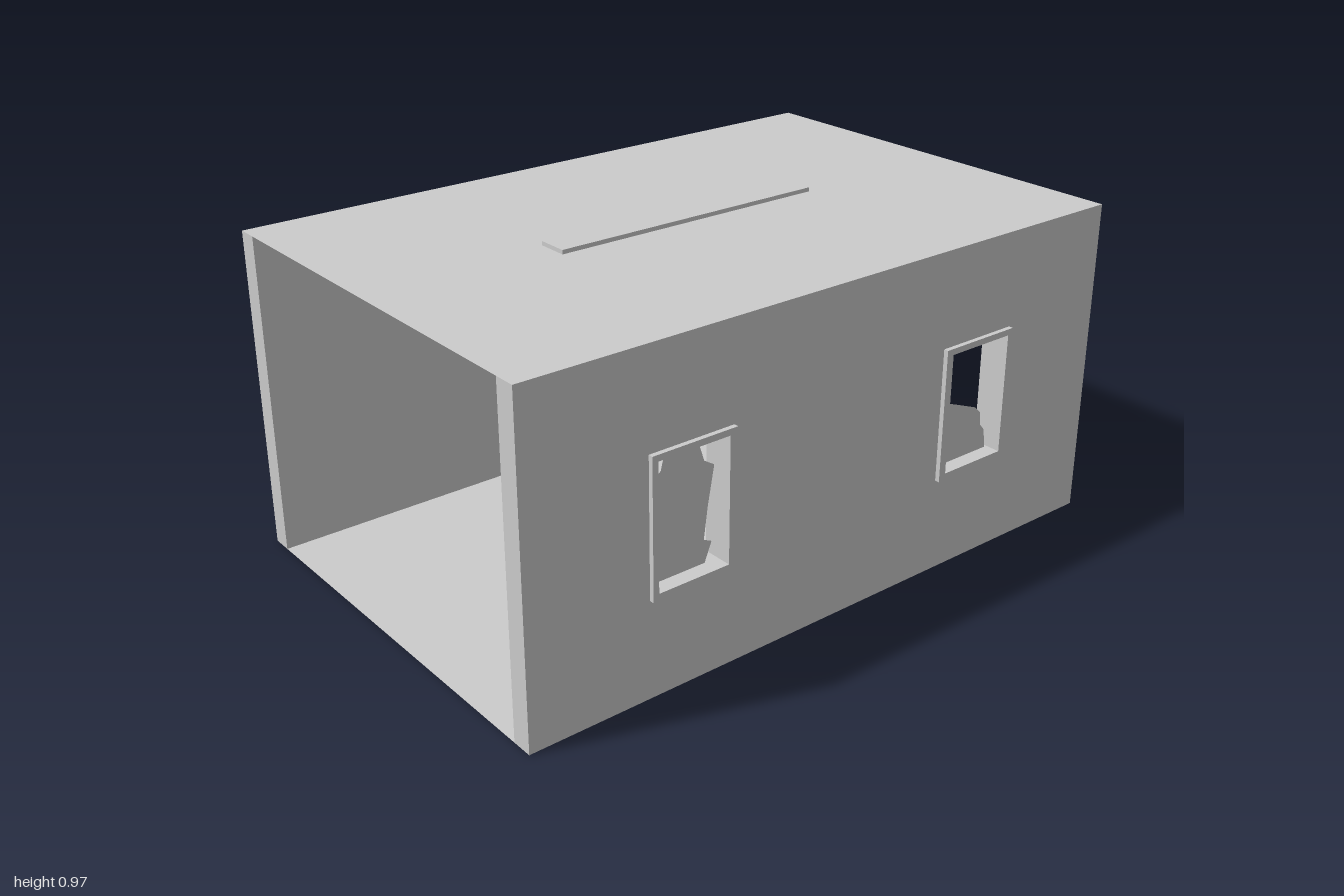
import * as THREE from 'three';

const material = new THREE.MeshStandardMaterial({ color: 0xcccccc, flatShading: true, side: THREE.DoubleSide });

const HEIGHT = 0.96;
const WINDOW = { z: 0.503, y: 0.481, w: 0.263, h: 0.396 };
const OPENING = { z: 0.506, y: 0.482, w: 0.222, h: 0.358 };

function add(group, name, geometry) {
  const mesh = new THREE.Mesh(geometry, material);
  mesh.name = name;
  group.add(mesh);
  return mesh;
}

// Outline from [z, y] pairs, laid out so a quarter turn puts it in the side wall plane
function outline(points, Type = THREE.Shape) {
  return new Type(points.map(([z, y]) => new THREE.Vector2(-z, y)));
}

function rect(z, y, w, h) {
  return [[z - w / 2, y - h / 2], [z + w / 2, y - h / 2], [z + w / 2, y + h / 2], [z - w / 2, y + h / 2]];
}

// Extrude a side outline from x0 to x1
function sidePanel(shape, x0, x1) {
  return new THREE.ExtrudeGeometry(shape, { depth: x1 - x0, bevelEnabled: false })
    .rotateY(Math.PI / 2).translate(x0, 0, 0);
}

// Extrude a front-facing profile of [x, y] pairs between two z values
function lengthwise(points, z0, z1) {
  const shape = new THREE.Shape(points.map(([x, y]) => new THREE.Vector2(x, y)));
  return new THREE.ExtrudeGeometry(shape, { depth: z1 - z0, bevelEnabled: false }).translate(0, 0, z0);
}

export function createModel() {
  const model = new THREE.Group();
  model.name = 'room';

  // Thin floor and ceiling sheets
  for (const [name, y] of [['floor', 0], ['ceiling', HEIGHT]]) {
    add(model, name, new THREE.PlaneGeometry(1.32, 2).rotateX(-Math.PI / 2).translate(-0.009, y, 0));
  }

  // Solid wall, and the opposite wall pierced by two windows
  const wallOutline = rect(0, HEIGHT / 2, 2, HEIGHT);
  add(model, 'solidWall', sidePanel(outline(wallOutline), -0.669, -0.606));
  const pierced = outline(wallOutline);
  for (const side of [1, -1]) {
    pierced.holes.push(outline(rect(side * OPENING.z, OPENING.y, OPENING.w, OPENING.h), THREE.Path));
  }
  add(model, 'windowWall', sidePanel(pierced, 0.588, 0.651));

  // Broken panes as [z, y] outlines
  const panes = {
    front: [[0.617, 0.303], [0.617, 0.57], [0.575, 0.605], [0.56, 0.661], [0.505, 0.661], [0.455, 0.635],
      [0.44, 0.59], [0.408, 0.57], [0.428, 0.46], [0.44, 0.37], [0.415, 0.358], [0.437, 0.303]],
    back: [[-0.395, 0.303], [-0.412, 0.36], [-0.4, 0.38], [-0.402, 0.42], [-0.445, 0.486], [-0.555, 0.443],
      [-0.578, 0.42], [-0.583, 0.38], [-0.6, 0.36], [-0.607, 0.303]],
  };
  for (const [end, side] of [['front', 1], ['back', -1]]) {
    const group = new THREE.Group();
    group.name = end + 'Window';
    const frame = outline(rect(side * WINDOW.z, WINDOW.y, WINDOW.w, WINDOW.h));
    frame.holes.push(outline(rect(side * OPENING.z, OPENING.y, OPENING.w, OPENING.h), THREE.Path));
    add(group, 'windowFrame', sidePanel(frame, 0.575, 0.665));
    add(group, 'brokenGlass', new THREE.ShapeGeometry(outline(panes[end]))
      .rotateY(Math.PI / 2).translate(0.62, 0, 0));
    model.add(group);
  }

  // Ceiling lamp: channel housing, closed ends and a tube in the recess
  const lamp = new THREE.Group();
  lamp.name = 'ceilingLamp';
  const L = 0.437;
  add(lamp, 'lampHousing', lengthwise([[-0.06, 0.892], [-0.045, 0.892], [-0.035, 0.93], [0.015, 0.93],
    [0.025, 0.892], [0.04, 0.892], [0.036, 0.972], [-0.056, 0.972]], -L, L));
  for (const side of [-1, 1]) {
    const inner = side * (L - 0.012);
    const outer = side * L;
    add(lamp, 'lampEnd', lengthwise([[-0.045, 0.892], [0.025, 0.892], [0.015, 0.93], [-0.035, 0.93]],
      Math.min(inner, outer), Math.max(inner, outer)));
  }
  add(lamp, 'lampTube', new THREE.CylinderGeometry(0.012, 0.012, 2 * L - 0.024, 8)
    .rotateX(Math.PI / 2).translate(-0.01, 0.912, 0));
  model.add(lamp);

  return model;
}
